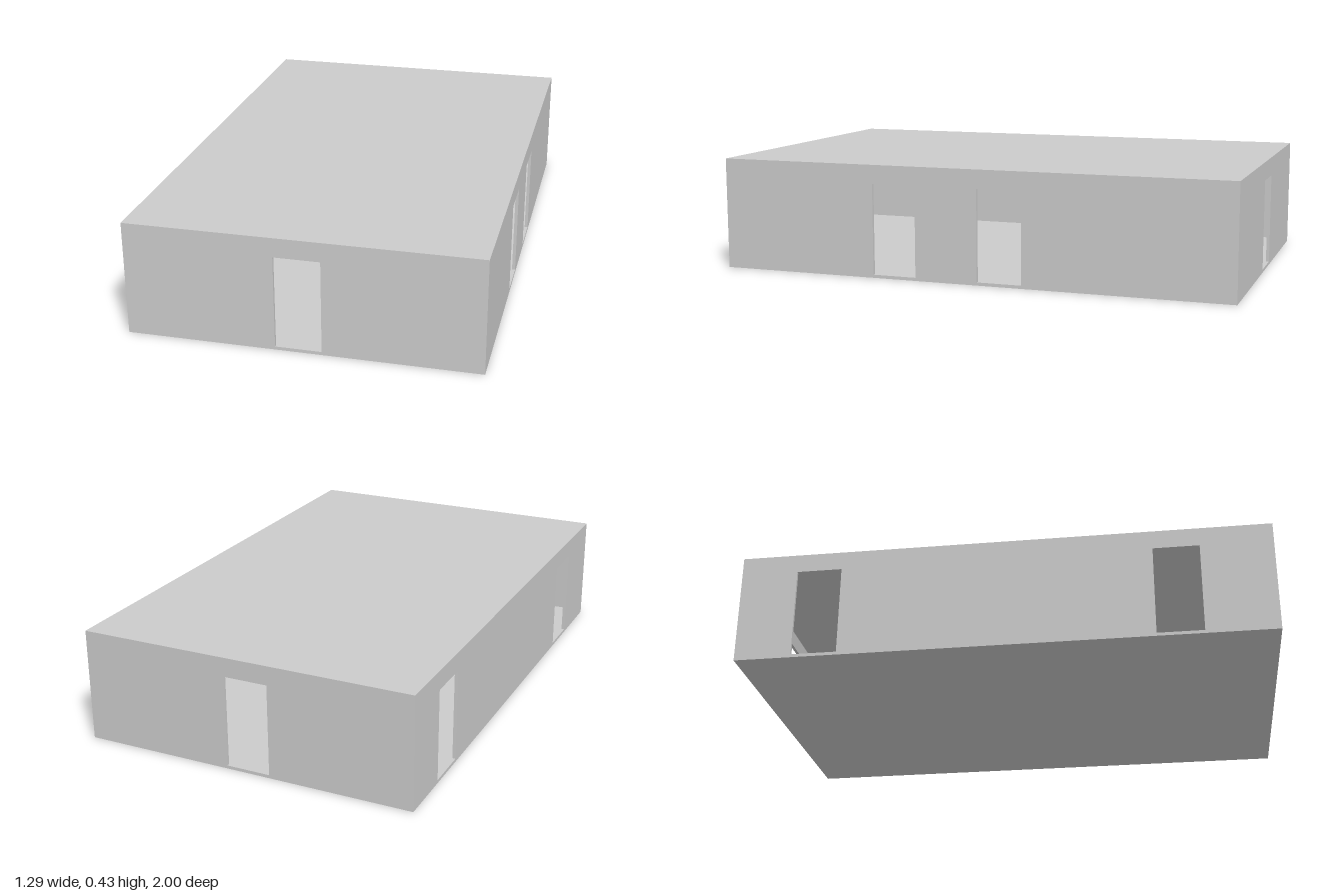
import * as THREE from 'three';

const W = 1.29, D = 2, H = 0.43; // outer size
const T = 0.012;                 // thickness of slabs and walls
const DOOR_TOP = 0.358;

const material = new THREE.MeshStandardMaterial({ color: 0xcccccc, flatShading: true });

// Wall panel standing on the floor slab, from u0 to u1, with doorways cut up from its base
function wallGeometry(u0, u1, doors) {
  const shape = new THREE.Shape();
  shape.moveTo(u0, T);
  for (const [a, b] of doors) {
    shape.lineTo(a, T);
    shape.lineTo(a, DOOR_TOP);
    shape.lineTo(b, DOOR_TOP);
    shape.lineTo(b, T);
  }
  shape.lineTo(u1, T);
  shape.lineTo(u1, H - T);
  shape.lineTo(u0, H - T);
  shape.closePath();
  return new THREE.ExtrudeGeometry(shape, { depth: T, bevelEnabled: false });
}

export function createModel() {
  const model = new THREE.Group();
  model.name = 'building';
  const add = (name, geometry) => {
    const mesh = new THREE.Mesh(geometry, material);
    mesh.name = name;
    model.add(mesh);
  };

  // Floor and roof slabs
  add('floor', new THREE.BoxGeometry(W, T, D).translate(0, T / 2, 0));
  add('roof', new THREE.BoxGeometry(W, T, D).translate(0, H - T / 2, 0));

  // End walls with facing doorways
  const endDoor = [[-0.097, 0.072]];
  add('frontWall', wallGeometry(-W / 2, W / 2, endDoor).translate(0, 0, D / 2 - T));
  add('backWall', wallGeometry(-W / 2, W / 2, endDoor).translate(0, 0, -D / 2));

  // Side walls between the end walls; u runs along -z after the turn
  const side = (doors) => wallGeometry(-D / 2 + T, D / 2 - T, doors).rotateY(Math.PI / 2);
  add('leftWall', side([[-0.375, -0.203], [0.042, 0.214]]).translate(W / 2 - T, 0, 0));
  add('rightWall', side([[-0.732, -0.56], [0.612, 0.784]]).translate(-W / 2, 0, 0));

  return model;
}
